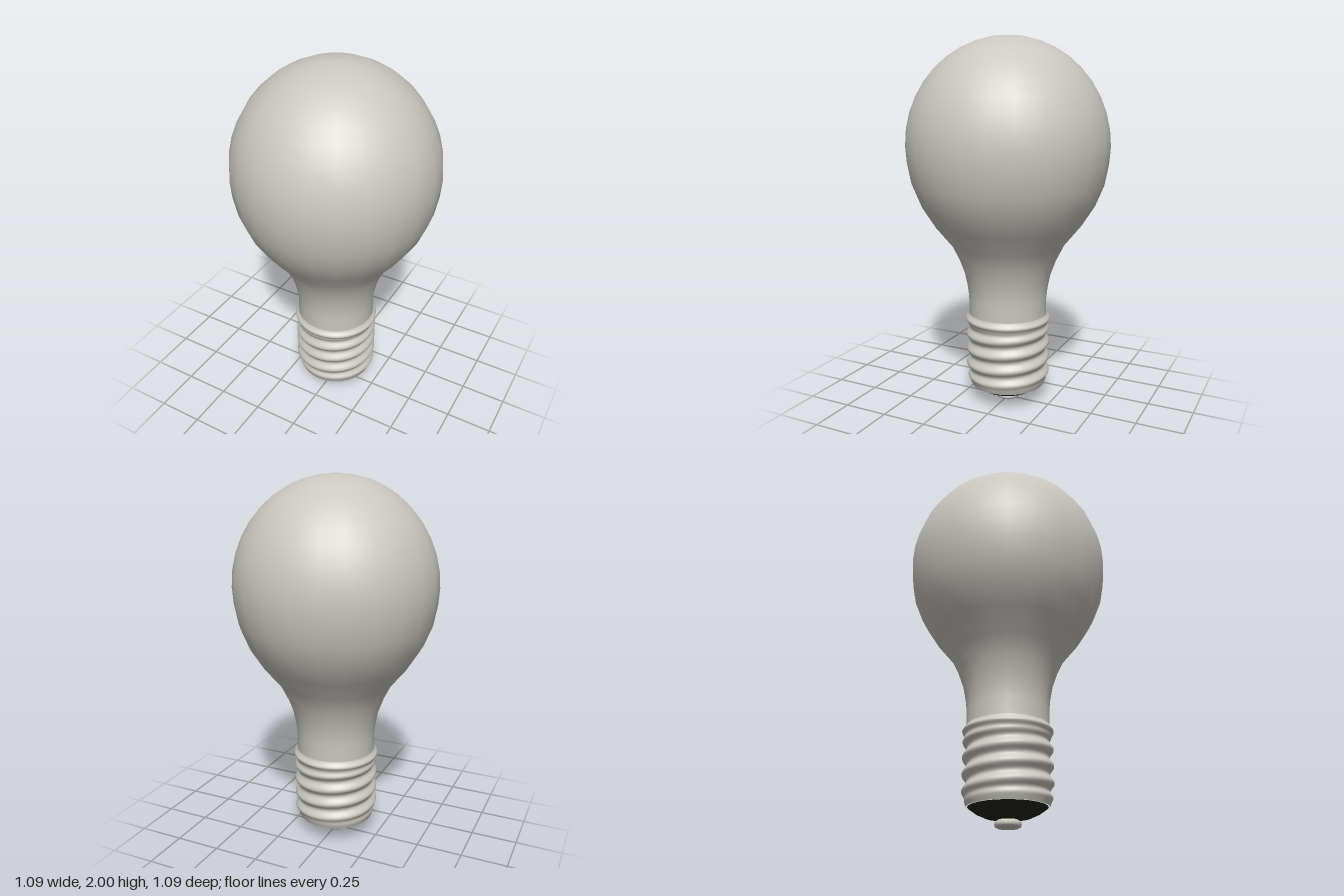
import * as THREE from 'three';
import { mergeVertices } from 'three/addons/utils/BufferGeometryUtils.js';

const shell = new THREE.MeshStandardMaterial({ name: 'warm grey', color: 0xcac8c0 });
const black = new THREE.MeshStandardMaterial({ name: 'insulator black', color: 0x23251b });

const SIDES = 24;

// Lathe from [radius, height] pairs, listed bottom to top
function turned(name, profile, material, sides = SIDES) {
  const points = profile.map(([r, y]) => new THREE.Vector2(r, y));
  const mesh = new THREE.Mesh(new THREE.LatheGeometry(points, sides), material);
  mesh.name = name;
  return mesh;
}

// Screw base: a cylinder whose radius follows a right-handed helical wave
function screwBase() {
  const pitch = 0.085, bottom = 0.1, top = 0.51, rows = 60;
  const points = [];
  for (let i = 0; i <= rows; i++) {
    points.push(new THREE.Vector2(1, bottom + (top - bottom) * i / rows));
  }
  const geometry = new THREE.LatheGeometry(points, 48);
  const pos = geometry.attributes.position;
  for (let i = 0; i < pos.count; i++) {
    const x = pos.getX(i), y = pos.getY(i), z = pos.getZ(i);
    const phi = Math.atan2(x, z);
    // thread fades out into a plain collar at the top and a rounded lip below
    const fade = THREE.MathUtils.smoothstep(y, 0.12, 0.17)
      * (1 - THREE.MathUtils.smoothstep(y, 0.42, 0.46));
    const thread = 0.011 * fade * Math.cos((2 * Math.PI * (y - 0.40)) / pitch - phi + Math.PI / 2);
    const collar = 0.014 * Math.exp(-(((y - 0.48) / 0.016) ** 2));
    const lip = -0.022 * (1 - THREE.MathUtils.smoothstep(y, 0.07, 0.15));
    const r = 0.221 + thread + collar + lip
      - 0.006 * THREE.MathUtils.smoothstep(y, 0.48, 0.51);
    pos.setXYZ(i, x * r, y, z * r);
  }
  // weld the seam so the shading stays continuous
  geometry.deleteAttribute('uv');
  geometry.deleteAttribute('normal');
  const welded = mergeVertices(geometry, 1e-5);
  welded.computeVertexNormals();
  const mesh = new THREE.Mesh(welded, shell);
  mesh.name = 'screwBase';
  return mesh;
}

export function createModel() {
  const group = new THREE.Group();
  group.name = 'lightBulb';

  // Glass envelope: straight neck, flared shoulder and round crown
  const glass = [
    [0.215, 0.49], [0.215, 0.6], [0.222, 0.66], [0.236, 0.73], [0.265, 0.81],
    [0.31, 0.9], [0.4, 1.01], [0.47, 1.12], [0.515, 1.23], [0.536, 1.34],
  ];
  for (let i = 0; i <= 10; i++) {
    const a = (i / 10) * Math.PI / 2;
    glass.push([0.543 * Math.cos(a), 1.43 + 0.57 * Math.sin(a)]);
  }
  glass[glass.length - 1][0] = 0;
  group.add(turned('glassEnvelope', glass, shell));

  group.add(screwBase());

  // Black insulator bowl under the base
  group.add(turned('insulator', [
    [0, 0.04], [0.07, 0.043], [0.12, 0.054], [0.16, 0.072], [0.2, 0.1],
  ], black));

  // Rounded contact button
  group.add(turned('contact', [
    [0, 0], [0.052, 0.001], [0.064, 0.008], [0.068, 0.02],
    [0.064, 0.032], [0.05, 0.04], [0, 0.042],
  ], shell));

  return group;
}
